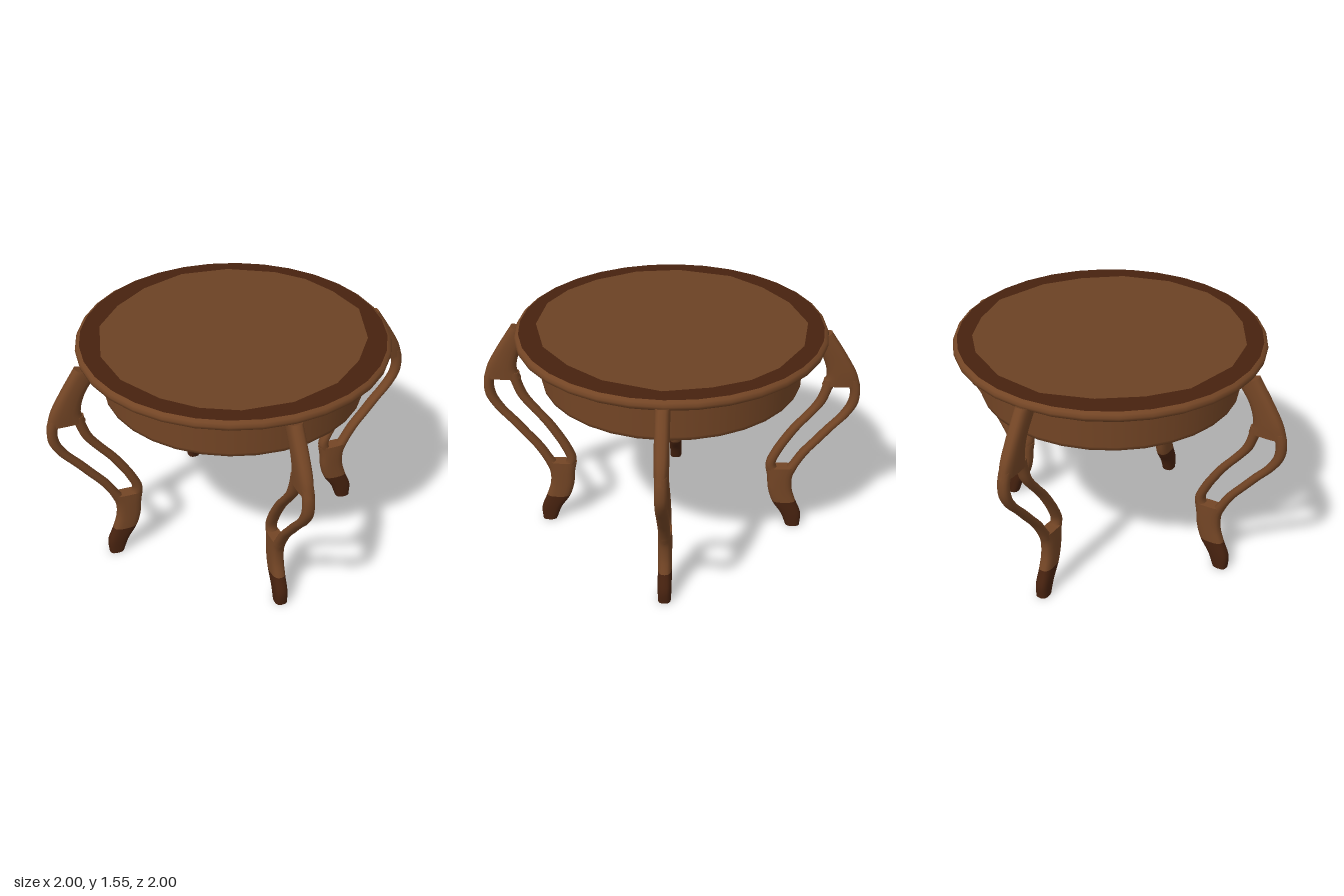
import * as THREE from 'three';

const mat = (name, color, side = THREE.FrontSide) => {
  const m = new THREE.MeshStandardMaterial({ color, side });
  m.name = name;
  return m;
};

// Lofts rounded sections, listed bottom to top: [innerR, innerY, outerR, outerY, halfThickness].
// Rows whose height is below splitY go in material group 0, the rest in group 1.
function loft(sections, rows, splitY = -1, sides = 20, power = 0.75) {
  const inner = new THREE.CatmullRomCurve3(sections.map((s) => new THREE.Vector3(s[0], s[1], s[4])));
  const outer = new THREE.CatmullRomCurve3(sections.map((s) => new THREE.Vector3(s[2], s[3], s[4])));
  const round = (v) => Math.sign(v) * Math.abs(v) ** power;
  const pos = [], index = [];
  let split = 0;
  const ring = (t) => {
    const a = inner.getPoint(t), b = outer.getPoint(t);
    const c = a.clone().add(b).multiplyScalar(0.5);
    for (let j = 0; j < sides; j++) {
      const ang = (j / sides) * Math.PI * 2;
      const u = round(Math.cos(ang)) / 2;
      pos.push(c.x + (b.x - a.x) * u, c.y + (b.y - a.y) * u, c.z * round(Math.sin(ang)));
    }
    return c;
  };
  const cap = (t, flip) => {
    const start = pos.length / 3, c = ring(t), mid = start + sides;
    pos.push(c.x, c.y, 0);
    for (let j = 0; j < sides; j++) {
      const p = start + j, q = start + (j + 1) % sides;
      index.push(mid, flip ? q : p, flip ? p : q);
    }
  };
  cap(0, false);
  const base = pos.length / 3;
  for (let i = 0; i <= rows; i++) {
    const c = ring(i / rows);
    if (i === rows) break;
    for (let j = 0; j < sides; j++) {
      const k = (j + 1) % sides, a = base + i * sides;
      index.push(a + j, a + sides + j, a + k, a + k, a + sides + j, a + sides + k);
    }
    if (c.y < splitY) split = index.length;
  }
  cap(1, true);
  const g = new THREE.BufferGeometry();
  g.setAttribute('position', new THREE.Float32BufferAttribute(pos, 3));
  g.setIndex(index);
  if (split) g.addGroup(0, split, 0);
  g.addGroup(split, index.length - split, 1);
  g.computeVertexNormals();
  return g;
}

// Thin strut through centres at heights 0.42 to 1.17, flared where it meets the solid parts
function strut(centres) {
  const heights = [0.42, 0.5, 0.6, 0.7, 0.8, 0.9, 1.0, 1.1, 1.17];
  return loft(centres.map((r, i) => {
    const w = i < 1 || i > 7 ? 0.045 : 0.034;
    return [r - w, heights[i], r + w, heights[i], 0.038];
  }), 32, -1, 14, 0.9);
}

export function createModel() {
  const wood = mat('brown wood', 0x734525);
  const panelWood = mat('table panel wood', 0x6b4224);
  const dark = mat('dark wood', 0x47220f);
  const model = new THREE.Group();
  const add = (parent, name, geometry, material) => {
    const m = new THREE.Mesh(geometry, material);
    m.name = name;
    parent.add(m);
    return m;
  };
  const lathe = (pts) => new THREE.LatheGeometry(pts.map((p) => new THREE.Vector2(...p)), 32);

  // Round top: rounded rim, dark border and inset panel
  add(model, 'tableRim', lathe([
    [0.85, 1.405], [0.857, 1.43], [0.88, 1.447], [0.93, 1.46], [0.975, 1.475],
    [0.995, 1.49], [1, 1.51], [0.992, 1.53], [0.972, 1.542],
  ]), wood);
  add(model, 'darkBorder', lathe([[0.972, 1.542], [0.001, 1.543]]), dark);
  const outline = [
    [-0.07, -0.87], [0.16, -0.86], [0.39, -0.77], [0.63, -0.61], [0.8, -0.28], [0.835, 0],
    [0.8, 0.29], [0.64, 0.58], [0.4, 0.78], [0.17, 0.855], [-0.08, 0.86], [-0.38, 0.78],
    [-0.62, 0.6], [-0.81, 0.28], [-0.835, 0], [-0.79, -0.29], [-0.65, -0.58], [-0.39, -0.78],
  ].map(([x, z]) => new THREE.Vector2(x, -z));
  const panel = add(model, 'topPanel', new THREE.ShapeGeometry(new THREE.Shape(outline)), panelWood);
  panel.rotation.x = -Math.PI / 2;
  panel.position.y = 1.546;

  // Apron drum with a small bevel and closed underside
  add(model, 'apron', lathe([[0.845, 1.215], [0.85, 1.405]]), wood);
  add(model, 'apronBevel', lathe([[0.825, 1.188], [0.842, 1.195], [0.845, 1.215]]), wood);
  add(model, 'underside', lathe([[0, 1.188], [0.825, 1.188]]), wood);

  // Curved legs, each with a dark foot, two open struts and a shoulder
  const footGeo = loft([
    [0.81, 0, 0.91, 0, 0.042], [0.77, 0.1, 0.912, 0.09, 0.045], [0.705, 0.2, 0.87, 0.2, 0.045],
    [0.675, 0.3, 0.84, 0.3, 0.045], [0.665, 0.4, 0.84, 0.4, 0.045], [0.65, 0.475, 0.87, 0.48, 0.043],
  ], 40, 0.19);
  const innerGeo = strut([0.72, 0.685, 0.72, 0.775, 0.84, 0.92, 0.99, 1.025, 1.045]);
  const outerGeo = strut([0.8, 0.845, 0.905, 0.985, 1.065, 1.15, 1.203, 1.207, 1.18]);
  const shoulderGeo = loft([
    [0.99, 1.128, 1.238, 1.128, 0.042], [1.015, 1.2, 1.205, 1.225, 0.045],
    [0.985, 1.32, 1.14, 1.34, 0.045], [0.9, 1.45, 1.03, 1.51, 0.045],
  ], 24);
  for (let i = 0; i < 4; i++) {
    const leg = new THREE.Group();
    leg.name = 'leg';
    leg.rotation.y = Math.PI / 4 + (i * Math.PI) / 2;
    leg.position.z = 0.008;
    add(leg, 'foot', footGeo, [dark, wood]);
    add(leg, 'innerStrut', innerGeo, [wood, wood]);
    add(leg, 'outerStrut', outerGeo, [wood, wood]);
    add(leg, 'shoulder', shoulderGeo, [wood, wood]);
    model.add(leg);
  }
  return model;
}
